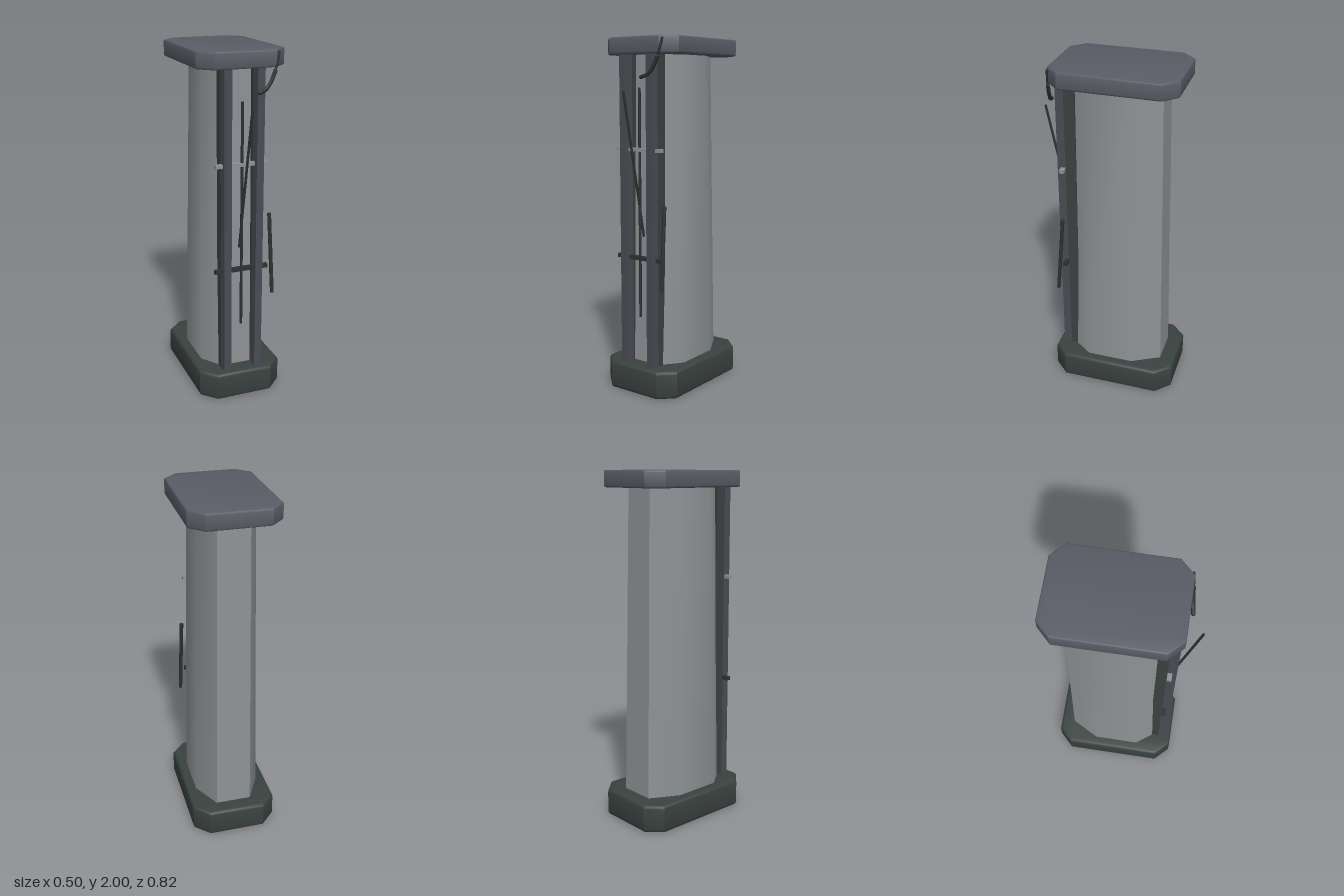
import * as THREE from 'three';
import { toCreasedNormals } from 'three/addons/utils/BufferGeometryUtils.js';

const mat = (name, color) => {
  const m = new THREE.MeshStandardMaterial({ color });
  m.name = name;
  return m;
};

export function createModel() {
  const root = new THREE.Group();
  const stone = mat('light grey', 0x8e9295);
  const slate = mat('slate grey', 0x5a5c66);
  const darkGreen = mat('dark green grey', 0x39423f);
  const railGrey = mat('rail grey', 0x4a4b54);
  const black = mat('charcoal', 0x2c3132);

  const add = (name, geometry, material, x = 0, y = 0, z = 0) => {
    const mesh = new THREE.Mesh(geometry, material);
    mesh.name = name;
    mesh.position.set(x, y, z);
    root.add(mesh);
    return mesh;
  };

  // Bevelled slab with cut corners, lying flat between y0 and y1
  const slab = (name, material, w, zBack, zFront, y0, y1, cut, bevel) => {
    const a = w - bevel, b = (zFront - zBack) / 2 - bevel, c = cut - bevel * 0.4;
    const shape = new THREE.Shape([
      [a, -b + c], [a, b - c], [a - c, b], [-a + c, b],
      [-a, b - c], [-a, -b + c], [-a + c, -b], [a - c, -b],
    ].map(([x, y]) => new THREE.Vector2(x, y)));
    const g = new THREE.ExtrudeGeometry(shape, {
      depth: y1 - y0 - 2 * bevel, bevelEnabled: true,
      bevelSize: bevel, bevelThickness: bevel, bevelSegments: 3,
    });
    g.rotateX(-Math.PI / 2);
    add(name, toCreasedNormals(g, 0.6), material, 0, y0 + bevel, (zBack + zFront) / 2);
  };
  slab('base', darkGreen, 0.248, -0.408, 0.338, 0, 0.163, 0.08, 0.02);
  slab('cap', slate, 0.248, -0.386, 0.318, 1.907, 2, 0.075, 0.01);

  // Tapering eight-sided column
  const section = (y, w, back, front) => {
    const half = [[0.54 * w, front], [w, front - 0.12], [w, back + 0.165], [0.54 * w, back]];
    const ring = [...half, ...half.slice().reverse().map(([x, z]) => [-x, z])];
    return ring.map(([x, z]) => [x, y, z]);
  };
  const lower = section(0.1, 0.192, -0.322, 0.236);
  const upper = section(1.95, 0.163, -0.282, 0.208);
  const corners = [];
  for (let i = 0; i < 8; i++) {
    const j = (i + 1) % 8;
    corners.push(lower[i], lower[j], upper[j], lower[i], upper[j], upper[i]);
  }
  const columnGeometry = new THREE.BufferGeometry();
  columnGeometry.setAttribute('position', new THREE.Float32BufferAttribute(corners.flat(), 3));
  add('column', toCreasedNormals(columnGeometry, 0.7), stone);

  // Paired rails, each with a dark backing strip
  for (const s of [-1, 1]) {
    add('rail', new THREE.BoxGeometry(0.03, 1.77, 0.06), railGrey, s * 0.087, 1.035, 0.275);
    add('railFlange', new THREE.BoxGeometry(0.014, 1.77, 0.085), railGrey, s * 0.108, 1.035, 0.26);
    add('railBacking', new THREE.BoxGeometry(0.045, 1.77, 0.06), darkGreen, s * 0.095, 1.035, 0.225);
  }

  // Cross bars
  add('upperCrossBar', new THREE.BoxGeometry(0.31, 0.02, 0.026), stone, 0, 1.39, 0.268);
  add('lowerCrossBar', new THREE.BoxGeometry(0.316, 0.022, 0.026), black, 0, 0.78, 0.266);

  // Round rods between two points
  const rod = (name, from, to, radius) => {
    const p = new THREE.Vector3(...from), q = new THREE.Vector3(...to);
    const mesh = add(name, new THREE.CylinderGeometry(radius, radius, p.distanceTo(q), 10), black);
    mesh.position.copy(p).lerp(q, 0.5);
    mesh.quaternion.setFromUnitVectors(new THREE.Vector3(0, 1, 0), q.sub(p).normalize());
  };
  rod('centreRod', [0, 0.44, 0.27], [0, 1.73, 0.27], 0.008);
  rod('leaningRod', [0, 0.9, 0.237], [0, 1.71, 0.404], 0.007);
  rod('sideRod', [0.178, 0.62, 0.303], [0.168, 1.09, 0.265], 0.011);

  // Hanging cable: thin at the cap, thicker at the loose end
  const tube = (name, points, radius) => {
    const path = new THREE.CatmullRomCurve3(points.map((p) => new THREE.Vector3(...p)));
    add(name, new THREE.TubeGeometry(path, 16, radius, 8), black);
    for (const p of [points[0], points[points.length - 1]]) {
      add(name + 'End', new THREE.SphereGeometry(radius, 8, 6), black, ...p);
    }
  };
  tube('cableTop', [[0.188, 1.985, 0.309], [0.178, 1.94, 0.314], [0.163, 1.89, 0.318]], 0.007);
  tube('cable', [[0.163, 1.89, 0.318], [0.14, 1.84, 0.323], [0.108, 1.8, 0.33], [0.068, 1.783, 0.338]], 0.011);

  return root;
}
